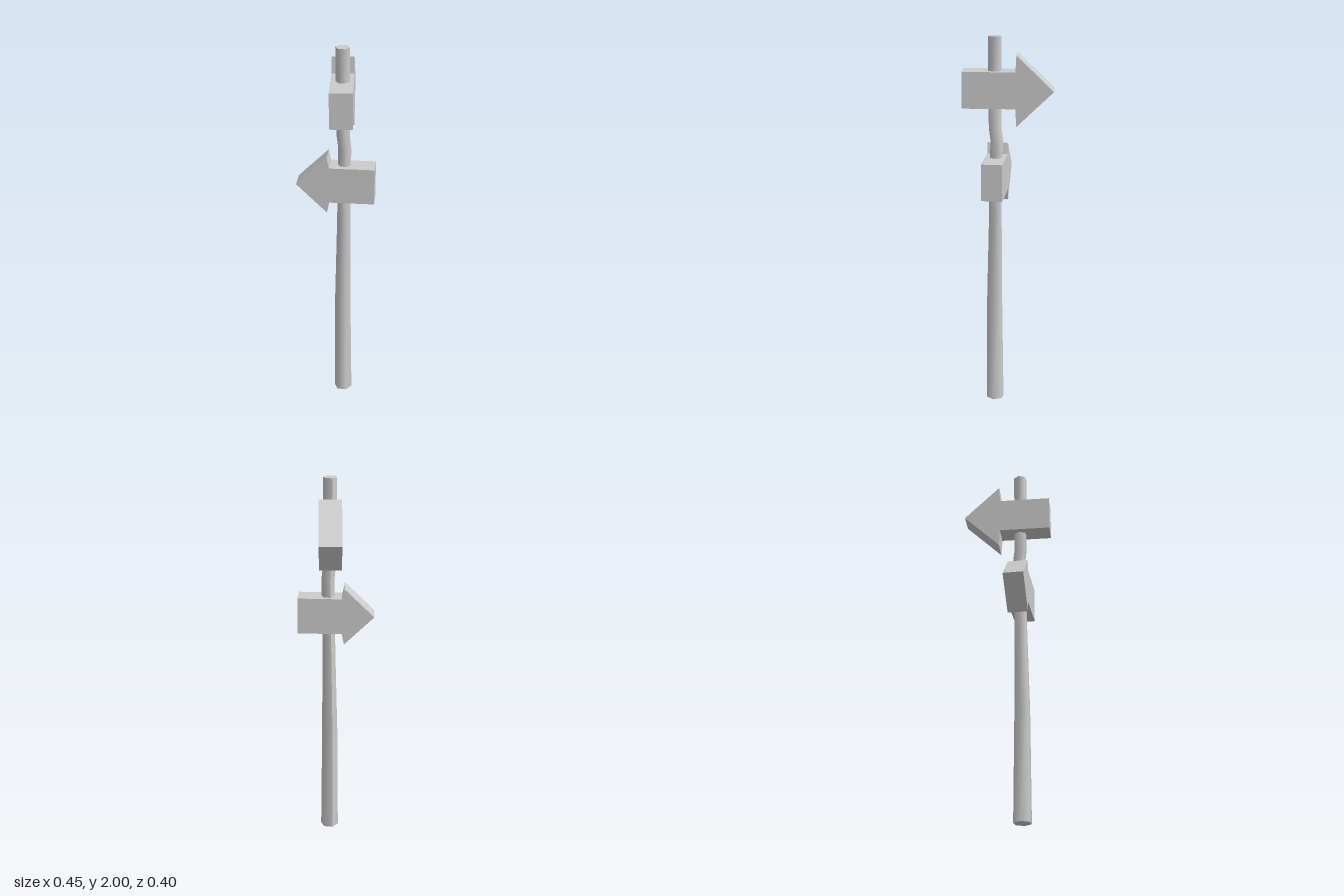
import * as THREE from 'three';

const material = new THREE.MeshStandardMaterial({ color: 0xcccccc });

// Crooked six-sided pole; each section is [y, x, z, radius], bottom to top
function makePole() {
  const sections = [
    [0, -0.05, 0.038, 0.048],
    [0.6, -0.052, 0.038, 0.042],
    [1.05, -0.045, 0.038, 0.035],
    [1.2, -0.043, 0.038, 0.034],
    [1.38, -0.038, 0.037, 0.034],
    [1.46, -0.034, 0.036, 0.034],
    [1.53, -0.046, 0.036, 0.034],
    [1.65, -0.048, 0.036, 0.035],
    [2, -0.049, 0.034, 0.036],
  ];
  const rows = sections.length - 1;
  const geometry = new THREE.CylinderGeometry(1, 1, rows, 6, rows, false, Math.PI * 5 / 6);
  const p = geometry.attributes.position;
  for (let i = 0; i < p.count; i++) {
    const [y, x, z, r] = sections[Math.round(p.getY(i) + rows / 2)];
    p.setXYZ(i, x + p.getX(i) * r, y, z + p.getZ(i) * r);
  }
  geometry.computeVertexNormals();
  const mesh = new THREE.Mesh(geometry, material);
  mesh.name = 'pole';
  return mesh;
}

// Thick arrow board running from tail to tip, both given as [x, z]
function makeArrow(name, { tail, tip, neck, barb, shaftY, headY, tipY, thickness }) {
  const dx = tip[0] - tail[0], dz = tip[1] - tail[1];
  const length = Math.hypot(dx, dz);
  const shape = new THREE.Shape([
    [0, shaftY[0]], [neck, shaftY[0]], [barb, headY[0]], [length, tipY],
    [barb, headY[1]], [neck, shaftY[1]], [0, shaftY[1]],
  ].map(([x, y]) => new THREE.Vector2(x, y)));
  const geometry = new THREE.ExtrudeGeometry(shape, { depth: thickness, bevelEnabled: false });
  geometry.translate(0, 0, -thickness / 2);
  const mesh = new THREE.Mesh(geometry, material);
  mesh.name = name;
  mesh.position.set(tail[0], 0, tail[1]);
  mesh.rotation.y = Math.atan2(-dz, dx);
  return mesh;
}

export function createModel() {
  const group = new THREE.Group();
  group.name = 'signpost';
  group.add(
    makePole(),
    makeArrow('upperArrow', {
      tail: [-0.179, 0.136], tip: [0.186, -0.158], neck: 0.273, barb: 0.278,
      shaftY: [1.637, 1.825], headY: [1.545, 1.912], tipY: 1.728, thickness: 0.116,
    }),
    makeArrow('lowerArrow', {
      tail: [0.051, 0.167], tip: [-0.182, -0.159], neck: 0.231, barb: 0.243,
      shaftY: [1.18, 1.373], headY: [1.122, 1.431], tipY: 1.277, thickness: 0.109,
    }),
  );
  return group;
}
